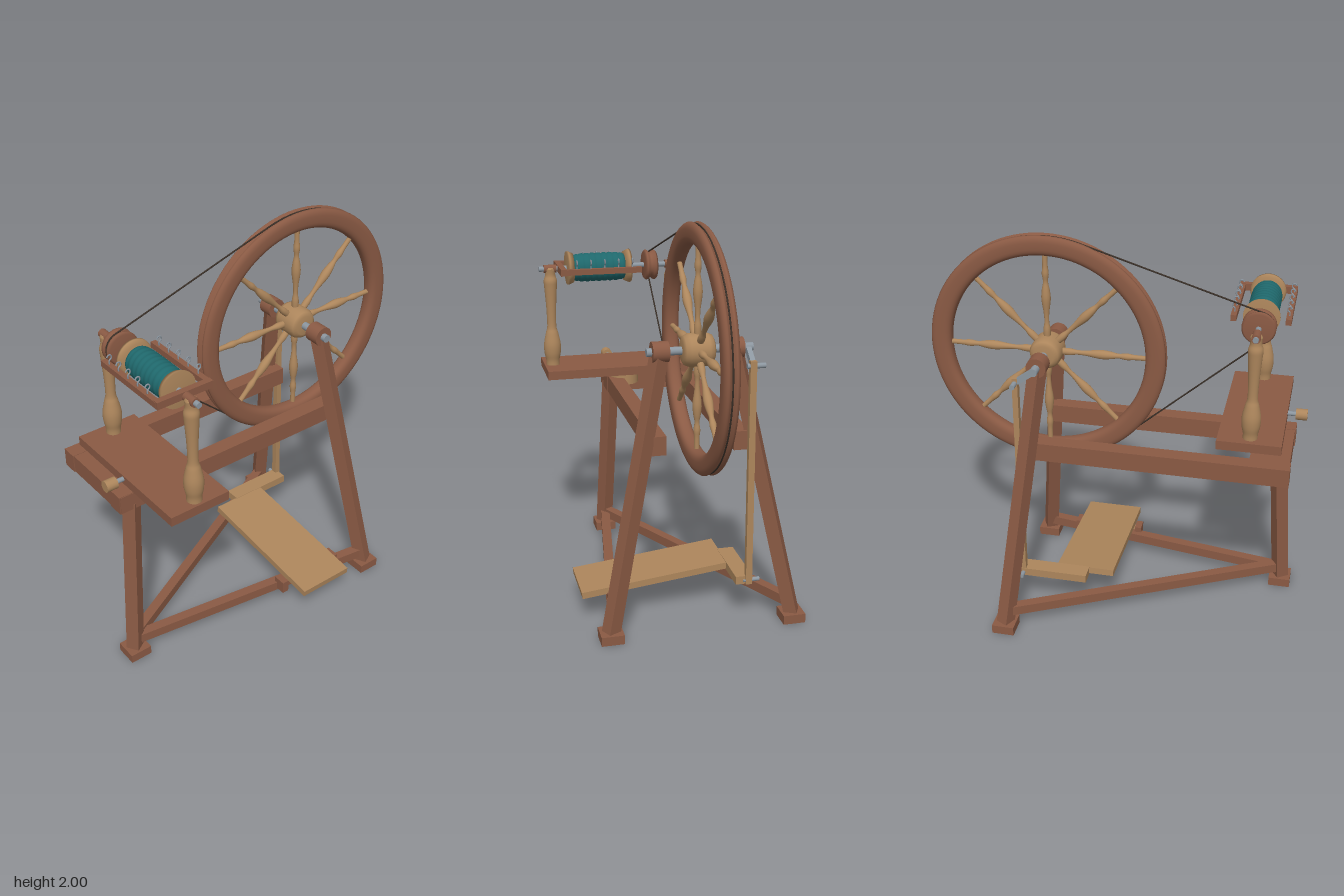
import * as THREE from 'three';

const mat = (name, color) => Object.assign(new THREE.MeshStandardMaterial({ color }), { name });
const V = (x, y, z) => new THREE.Vector3(x, y, z);

export function createModel() {
  const brown = mat('brownWood', 0x8a5a44);
  const pale = mat('paleWood', 0xad865c);
  const metal = mat('greyMetal', 0x8c969f);
  const teal = mat('tealYarn', 0x1f686c);
  const cord = mat('darkCord', 0x3a3028);
  const root = new THREE.Group();
  root.name = 'spinningWheel';

  const add = (name, geo, material, x = 0, y = 0, z = 0, parent = root) => {
    const m = new THREE.Mesh(geo, material);
    m.name = name;
    m.position.set(x, y, z);
    parent.add(m);
    return m;
  };
  // Box given by its extents on each axis
  const box = (name, material, [x0, x1], [y0, y1], [z0, z1]) =>
    add(name, new THREE.BoxGeometry(x1 - x0, y1 - y0, z1 - z0), material, (x0 + x1) / 2, (y0 + y1) / 2, (z0 + z1) / 2);
  // Square bar running between two points
  const beam = (name, material, a, b, w, h = w) => {
    const m = add(name, new THREE.BoxGeometry(w, h, a.distanceTo(b)), material);
    m.position.copy(a).lerp(b, 0.5);
    m.lookAt(b);
    return m;
  };
  // Cylinder along z
  const rodZ = (name, material, r, x, y, z0, z1) => {
    const m = add(name, new THREE.CylinderGeometry(r, r, z1 - z0, 24), material, x, y, (z0 + z1) / 2);
    m.rotation.x = Math.PI / 2;
    return m;
  };
  // Turned shape from [radius, height] pairs, optionally smoothed by a spline
  const lathe = (pts, smooth, seg = 24) => {
    let p = pts.map(([r, h]) => new THREE.Vector2(r, h));
    if (smooth) p = new THREE.SplineCurve(p).getPoints(smooth);
    return new THREE.LatheGeometry(p, seg);
  };
  const latheZ = (name, geo, material, x, y, z) => {
    const m = add(name, geo, material, x, y, z);
    m.rotation.x = Math.PI / 2;
    return m;
  };

  // Frame: two rails and an end block
  const WX = 0.34, WY = 1.4, WZ = -0.043;
  box('backRail', brown, [-0.9, 0.41], [0.905, 1], [-0.29, -0.21]);
  box('frontRail', brown, [-0.9, 0.4], [0.905, 1], [0.122, 0.202]);
  box('endBlock', brown, [-0.895, -0.7], [0.906, 0.998], [-0.28, 0.205]);

  // Three splayed legs with square feet
  const legs = [
    ['frontLeg', V(WX, 1.4, 0.14), V(0.483, 0.04, 0.42)],
    ['backLeg', V(WX, 1.4, -0.225), V(0.483, 0.04, -0.505)],
    ['endLeg', V(-0.815, 0.93, 0.165), V(-0.877, 0.04, 0.205)],
  ];
  for (const [name, top, foot] of legs) {
    beam(name, brown, top, foot, 0.066);
    box(name + 'Foot', brown, [foot.x - 0.057, foot.x + 0.057], [0, 0.047], [foot.z - 0.057, foot.z + 0.057]);
  }
  beam('frontStretcher', brown, V(-0.87, 0.09, 0.2), V(0.48, 0.095, 0.41), 0.05);
  beam('backStretcher', brown, V(-0.87, 0.105, 0.2), V(0.48, 0.105, -0.49), 0.05);

  // Bearings, axle and crank
  rodZ('frontBearing', brown, 0.05, WX, WY, 0.1, 0.18);
  rodZ('backBearing', brown, 0.05, WX, WY, -0.265, -0.188);
  rodZ('axle', metal, 0.02, WX, WY, -0.315, 0.205);
  const CX = 0.437, CY = 1.33, CZ = -0.29;
  beam('crankArm', metal, V(WX, WY, CZ), V(CX, CY, CZ), 0.025, 0.03);
  rodZ('crankPin', metal, 0.013, CX, CY, -0.35, -0.26);
  rodZ('footmanPin', metal, 0.011, CX, 0.22, -0.345, -0.26);
  box('footmanRod', pale, [CX - 0.014, CX + 0.014], [0.2, 1.355], [-0.305, -0.273]);

  // Treadle with hinge
  beam('treadle', pale, V(0.12, 0.142, 0.525), V(0.12, 0.227, -0.23), 0.3, 0.034);
  box('treadleArm', pale, [0.1, 0.445], [0.203, 0.245], [-0.308, -0.222]);
  for (const x of [-0.052, 0.29]) box('hingeBlock', brown, [x - 0.018, x + 0.018], [0.08, 0.147], [0.33, 0.4]);
  box('hingeBar', pale, [-0.06, 0.3], [0.118, 0.136], [0.355, 0.375]);

  // Grooved rim, hub and turned spokes
  const rim = [];
  for (let i = 0; i <= 32; i++) {
    const a = -i / 32 * Math.PI * 2, c = Math.cos(a), s = Math.sin(a);
    const groove = c > 0 ? 0.022 * Math.max(0, 1 - Math.abs(s) / 0.35) : 0;
    rim.push([0.547 + 0.053 * Math.sign(c) * Math.abs(c) ** 0.7 - groove, -0.04 * Math.sign(s) * Math.abs(s) ** 0.8]);
  }
  rim.reverse();
  // Profile climbs on the outside so the faces point outward
  if (rim[1][1] < 0) rim.reverse();
  latheZ('wheelRim', lathe(rim, 0, 96), brown, WX, WY, WZ);
  latheZ('wheelHub', lathe([[0, -0.078], [0.05, -0.078], [0.07, -0.068], [0.08, -0.045], [0.08, 0.045],
    [0.07, 0.068], [0.05, 0.078], [0, 0.078]]), pale, WX, WY, WZ);
  const spoke = lathe([[0.016, 0.06], [0.018, 0.11], [0.012, 0.15], [0.014, 0.2], [0.023, 0.27],
    [0.019, 0.32], [0.012, 0.36], [0.017, 0.4], [0.013, 0.44], [0.013, 0.51]], 30, 14);
  for (let i = 0; i < 8; i++) add('spoke', spoke, pale, WX, WY, WZ).rotation.z = i * Math.PI / 4;

  // Table, its collar and the tension knob
  const SX = -0.693, SY = 1.62;
  box('table', brown, [-0.85, -0.535], [1.04, 1.087], [-0.225, 0.555]);
  add('tableCollar', new THREE.CylinderGeometry(0.08, 0.08, 0.08, 28), pale, SX, 1.002, 0.11);
  const screw = add('tensionScrew', new THREE.CylinderGeometry(0.012, 0.012, 0.08, 12), metal, -0.87, 1.068, 0.165);
  const knob = add('tensionKnob', new THREE.CylinderGeometry(0.029, 0.029, 0.058, 16), pale, -0.92, 1.068, 0.165);
  screw.rotation.z = knob.rotation.z = Math.PI / 2;

  // Two turned uprights holding the spindle
  const post = lathe([[0.036, 0], [0.037, 0.03], [0.045, 0.07], [0.046, 0.12], [0.034, 0.18], [0.025, 0.22],
    [0.027, 0.32], [0.034, 0.43], [0.036, 0.47], [0.028, 0.5], [0.03, 0.535]], 40);
  for (const z of [0.508, -0.162]) {
    add('upright', post, pale, SX, 1.085, z);
    rodZ('spindleBearing', brown, 0.022, SX, SY, z - 0.034, z + 0.034);
    add('uprightCap', new THREE.CylinderGeometry(0.024, 0.03, 0.012, 24), pale, SX, 1.622, z);
  }
  rodZ('spindle', metal, 0.014, SX, SY, -0.208, 0.568);

  // Bobbin: flanges and wound yarn
  const flange = lathe([[0, -0.018], [0.08, -0.018], [0.09, 0.006], [0.09, 0.016], [0, 0.016]], 0, 32);
  latheZ('frontFlange', flange, pale, SX, SY, 0.402);
  latheZ('backFlange', flange, pale, SX, SY, 0.085).rotation.x = -Math.PI / 2;
  const yarn = [[0, -0.143]];
  for (let i = 0; i <= 36; i++) {
    const t = i / 18 - 1;
    yarn.push([0.064 + 0.011 * (1 - t ** 6) + (i % 4 ? 0.002 : -0.002), t * 0.143]);
  }
  yarn.push([0, 0.143]);
  latheZ('yarn', lathe(yarn, 0, 32), teal, SX, SY, 0.243);

  // Grooved drive pulley
  latheZ('pulley', lathe([[0, -0.034], [0.072, -0.034], [0.082, -0.024], [0.08, -0.014], [0.066, 0],
    [0.08, 0.014], [0.082, 0.024], [0.072, 0.034], [0, 0.034]], 0, 32), brown, SX, SY, WZ);

  // U-shaped flyer with rows of wire hooks
  box('flyerBar', brown, [-0.836, -0.547], [1.602, 1.638], [0.437, 0.468]);
  const hookPath = new THREE.CatmullRomCurve3([V(0, 0, 0), V(0, 0.022, 0), V(0.011, 0.032, 0),
    V(0.009, 0.048, 0), V(-0.004, 0.05, 0), V(-0.011, 0.04, 0)]);
  const hook = new THREE.TubeGeometry(hookPath, 16, 0.0035, 6);
  for (const s of [-1, 1]) {
    const x = SX + s * 0.131;
    box('flyerArm', brown, [x - 0.014, x + 0.014], [1.605, 1.635], [0.03, 0.455]);
    for (let i = 0; i < 5; i++) add('flyerHook', hook, metal, x, 1.63, 0.08 + i * 0.075);
  }

  // Drive band around wheel and pulley
  const rW = 0.588, rP = 0.072, dx = WX - SX, dy = WY - SY;
  const phi = Math.atan2(dy, dx), th = Math.acos((rP - rW) / Math.hypot(dx, dy));
  const band = [];
  const arc = (cx, cy, r, a0, a1, n) => {
    for (let i = 0; i <= n; i++) {
      const a = a0 + (a1 - a0) * i / n;
      band.push(V(cx + r * Math.cos(a), cy + r * Math.sin(a), WZ));
    }
  };
  arc(WX, WY, rW, phi + th, phi - th, 60);
  arc(SX, SY, rP, phi - th, phi + th - Math.PI * 2, 14);
  const loop = new THREE.CatmullRomCurve3(band, true, 'catmullrom', 0);
  add('driveBand', new THREE.TubeGeometry(loop, 320, 0.004, 6, true), cord);

  return root;
}
